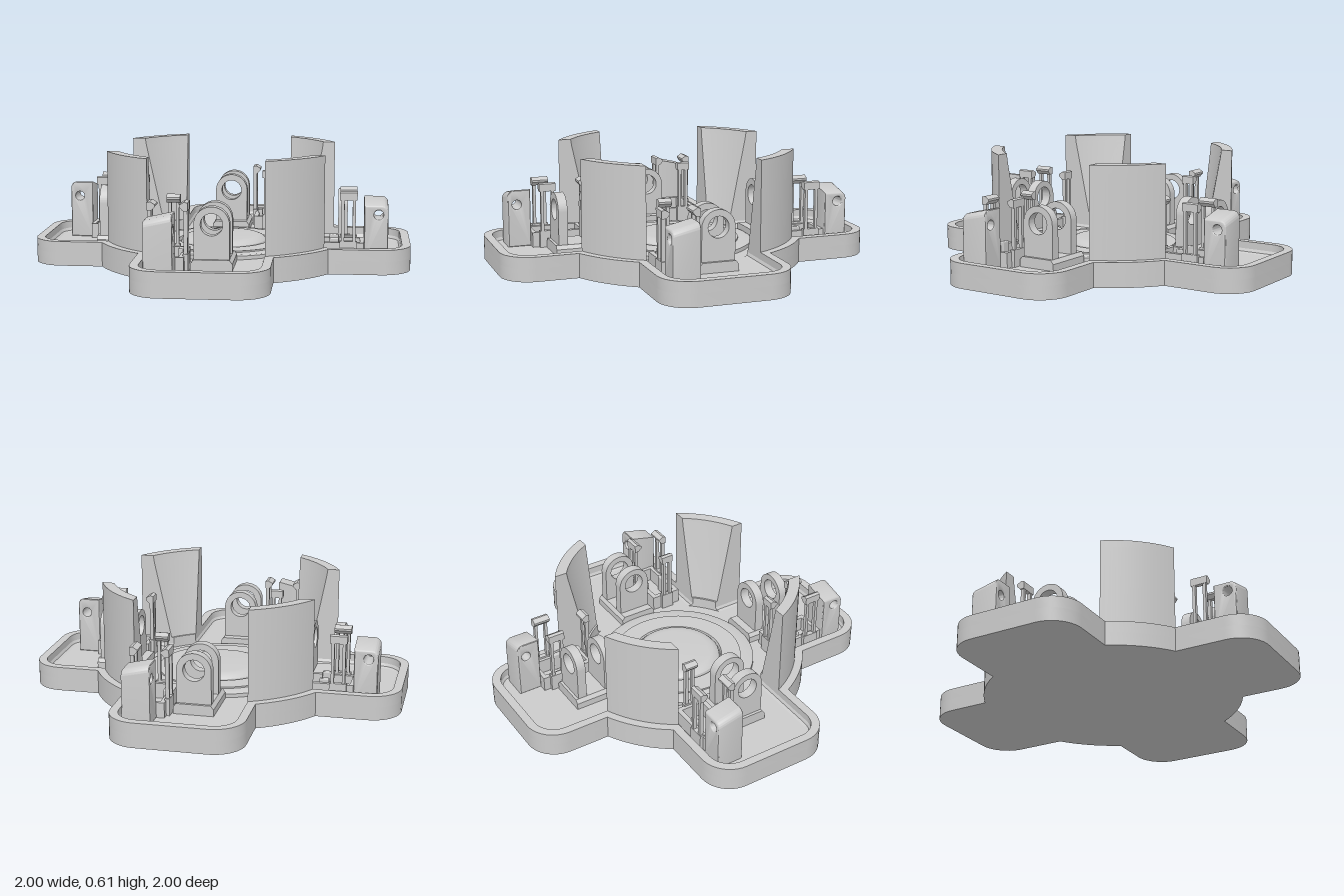
import * as THREE from 'three';
import { toCreasedNormals } from 'three/addons/utils/BufferGeometryUtils.js';
import { RoundedBoxGeometry } from 'three/addons/geometries/RoundedBoxGeometry.js';

const FLOOR = 0.07, RIM = 0.13, TOP = 0.61, LIP = 0.045;
const Z_LO = -0.305, Z_HI = 0.385; // sides of the +x arm
const mat = new THREE.MeshStandardMaterial({ color: 0xcccccc });

function add(parent, name, geo, x = 0, y = 0, z = 0) {
  const m = new THREE.Mesh(geo, mat);
  m.name = name;
  m.position.set(x, y, z);
  parent.add(m);
  return m;
}

const smooth = (geo) => toCreasedNormals(geo, 0.5);
const extrude = (shape, depth) => new THREE.ExtrudeGeometry(shape, { depth, bevelEnabled: false, curveSegments: 24 });

// Plan shape (x, z) raised from y0 to y1
function slab(shape, y0, y1) {
  return smooth(extrude(shape, y1 - y0).rotateX(Math.PI / 2).translate(0, y1, 0));
}

// Four-armed pinwheel outline, inset by off, with a disc of radius R between the arms
function outline(off, R) {
  const lo = Z_LO + off, hi = Z_HI - off, end = 1 - off, c = 0.16 - off;
  const arm = [];
  const arc = (cx, cz, r, a0, a1, n) => {
    for (let i = 0; i <= n; i++) {
      const a = a0 + (a1 - a0) * i / n;
      arm.push([cx + r * Math.cos(a), cz + r * Math.sin(a)]);
    }
  };
  arc(end - c, lo + c, c, -Math.PI / 2, 0, 10);
  arc(end - c, hi - c, c, 0, Math.PI / 2, 10);
  arc(0, 0, R, Math.asin(hi / R), Math.acos(-lo / R), 12);
  const pts = [];
  for (let k = 0; k < 4; k++) {
    for (let [x, z] of arm) {
      for (let j = 0; j < k; j++) [x, z] = [-z, x];
      pts.push(new THREE.Vector2(x, z));
    }
  }
  return pts;
}

// Skin through closed loops of [x, y, z] points; optional cap joins mirrored halves of the last loop
function loft(loops, cap) {
  const n = loops[0].length, idx = [];
  for (let s = 0; s < loops.length - 1; s++) {
    for (let i = 0; i < n; i++) {
      const j = (i + 1) % n, a = s * n + i, b = s * n + j;
      idx.push(a, a + n, b, b, a + n, b + n);
    }
  }
  if (cap) {
    const o = (loops.length - 1) * n;
    for (let i = 0; i < n / 2 - 1; i++) {
      const a = o + i, b = a + 1, c = o + n - 1 - i, d = c - 1;
      idx.push(a, c, b, b, c, d);
    }
  }
  const g = new THREE.BufferGeometry();
  g.setAttribute('position', new THREE.Float32BufferAttribute(loops.flat(2), 3));
  g.setIndex(idx);
  return smooth(g);
}

// Curved wall between two arms: upright outside, leaning inner face, sides flush with the trays
function wallGeometry() {
  const section = (y, rIn) => {
    const loop = [], n = 14;
    const put = (r, t) => {
      const a0 = Math.asin((Z_HI - LIP) / r), a1 = Math.acos((-Z_LO - LIP) / r);
      const a = a0 + (a1 - a0) * t;
      loop.push([r * Math.cos(a), y, r * Math.sin(a)]);
    };
    for (let i = 0; i <= n; i++) put(0.648, i / n);
    for (let i = n; i >= 0; i--) put(rIn, i / n);
    return loop;
  };
  return loft([section(FLOOR, 0.5), section(0.57, 0.585), section(TOP, 0.59)], true);
}

// Arched ear with a round eye, its thickness along x
function lugGeometry(t) {
  const s = new THREE.Shape();
  s.moveTo(-0.09, FLOOR);
  s.lineTo(0.09, FLOOR);
  s.lineTo(0.09, 0.3);
  s.absarc(0, 0.3, 0.09, 0, Math.PI, false);
  s.closePath();
  s.holes.push(new THREE.Path().absarc(0, 0.3, 0.056, 0, Math.PI * 2, true));
  return smooth(extrude(s, t).rotateY(Math.PI / 2));
}

// End stop with a rounded outer shoulder, a pin hole and a top that falls to one side
function stopGeometry() {
  const s = new THREE.Shape();
  s.moveTo(0.755, FLOOR);
  s.lineTo(0.88, FLOOR);
  s.lineTo(0.88, 0.345);
  s.absarc(0.845, 0.345, 0.035, 0, Math.PI / 2, false);
  s.lineTo(0.755, 0.38);
  s.closePath();
  s.holes.push(new THREE.Path().absarc(0.83, 0.3, 0.025, 0, Math.PI * 2, true));
  const g = new THREE.ExtrudeGeometry(s, { depth: 0.13, bevelEnabled: true, bevelSize: 0.008,
    bevelOffset: -0.008, bevelThickness: 0.008, bevelSegments: 3, curveSegments: 16 }).translate(0, 0, 0.178);
  const p = g.attributes.position;
  for (let i = 0; i < p.count; i++) {
    if (p.getY(i) > 0.335) p.setY(i, p.getY(i) - Math.max(0, p.getZ(i) - 0.2) * 0.28);
  }
  return smooth(g);
}

// Snap hook: two slim legs, a foot and a barbed head pointing to local -z
function hook(width) {
  const g = new THREE.Group();
  g.name = 'snapHook';
  for (const s of [-1, 1]) {
    add(g, 'hookLeg', new THREE.BoxGeometry(0.016, 0.33, 0.02), s * (width / 2 - 0.016), 0.235, 0);
  }
  add(g, 'hookFoot', new THREE.BoxGeometry(width, 0.09, 0.026), 0, 0.115, 0);
  const barb = new THREE.Shape([[-0.012, 0.375], [0.012, 0.375], [0.03, 0.395], [0.03, 0.405], [0.005, 0.42], [-0.012, 0.415]]
    .map(([x, y]) => new THREE.Vector2(x, y)));
  add(g, 'hookHead', extrude(barb, width).rotateY(Math.PI / 2).translate(-width / 2, 0, 0));
  return g;
}

function armFittings() {
  const g = new THREE.Group();
  g.name = 'armFittings';

  // Pivot bracket
  const foot = new THREE.Shape([[-0.105, FLOOR], [0.105, FLOOR], [0.105, 0.105], [0.09, 0.125], [-0.09, 0.125], [-0.105, 0.105]]
    .map(([x, y]) => new THREE.Vector2(x, y)));
  add(g, 'pivotFoot', extrude(foot, 0.27).rotateY(Math.PI / 2), 0.415, 0, 0);
  for (const x of [0.46, 0.62]) add(g, 'pivotLug', lugGeometry(0.05), x);

  // Clip cradle
  const frame = new THREE.Shape();
  frame.moveTo(0.46, 0.13).lineTo(0.757, 0.13).lineTo(0.757, 0.3).lineTo(0.46, 0.3).closePath();
  const gap = new THREE.Path();
  gap.moveTo(0.485, 0.155).lineTo(0.485, 0.275).lineTo(0.735, 0.275).lineTo(0.735, 0.155).closePath();
  frame.holes.push(gap);
  add(g, 'cradleFrame', slab(frame, FLOOR, 0.15));
  for (const z of [0.16, 0.27]) {
    add(g, 'cradleRib', new RoundedBoxGeometry(0.05, 0.1, 0.025, 2, 0.006), 0.6, 0.12, z);
  }
  add(g, 'endStop', stopGeometry());

  // Hooks on both sides and at the inner end, barbs facing the cradle
  const places = [[0.675, 0.125, Math.PI, 0.09], [0.675, 0.305, 0, 0.09], [0.455, 0.215, -Math.PI / 2, 0.07]];
  for (const [x, z, turn, width] of places) {
    const h = hook(width);
    h.position.set(x, 0, z);
    h.rotation.y = turn;
    g.add(h);
  }
  return g;
}

export function createModel() {
  const model = new THREE.Group();
  model.name = 'model';

  // Base plate with raised rim and a sloped edge around the floor
  add(model, 'basePlate', slab(new THREE.Shape(outline(0, 0.69)), 0, FLOOR));
  const rim = new THREE.Shape(outline(0, 0.69));
  rim.holes.push(new THREE.Path(outline(LIP, 0.5)));
  add(model, 'rim', slab(rim, FLOOR, RIM));
  const ring = (off, y) => outline(off, 0.5).map((p) => [p.x, y, p.y]);
  add(model, 'floorFillet', loft([ring(LIP, 0.092), ring(LIP + 0.008, 0.077), ring(LIP + 0.022, FLOOR + 0.001)]));

  // Stepped central disc with a rounded button
  const profile = [[0.42, 0.06], [0.42, 0.09], [0.41, 0.095], [0.35, 0.095], [0.35, 0.103], [0.245, 0.103],
    [0.24, 0.085], [0.235, 0.085], [0.23, 0.105], [0.215, 0.12], [0.195, 0.128], [0.17, 0.13], [0, 0.13]];
  add(model, 'centreDisc', smooth(new THREE.LatheGeometry(profile.map(([r, y]) => new THREE.Vector2(r, y)), 64)));

  // One wall and one set of fittings per quarter turn
  for (let k = 0; k < 4; k++) {
    const quarter = new THREE.Group();
    quarter.name = 'quarter';
    add(quarter, 'curvedWall', wallGeometry());
    quarter.add(armFittings());
    quarter.rotation.y = k * Math.PI / 2;
    model.add(quarter);
  }
  return model;
}
